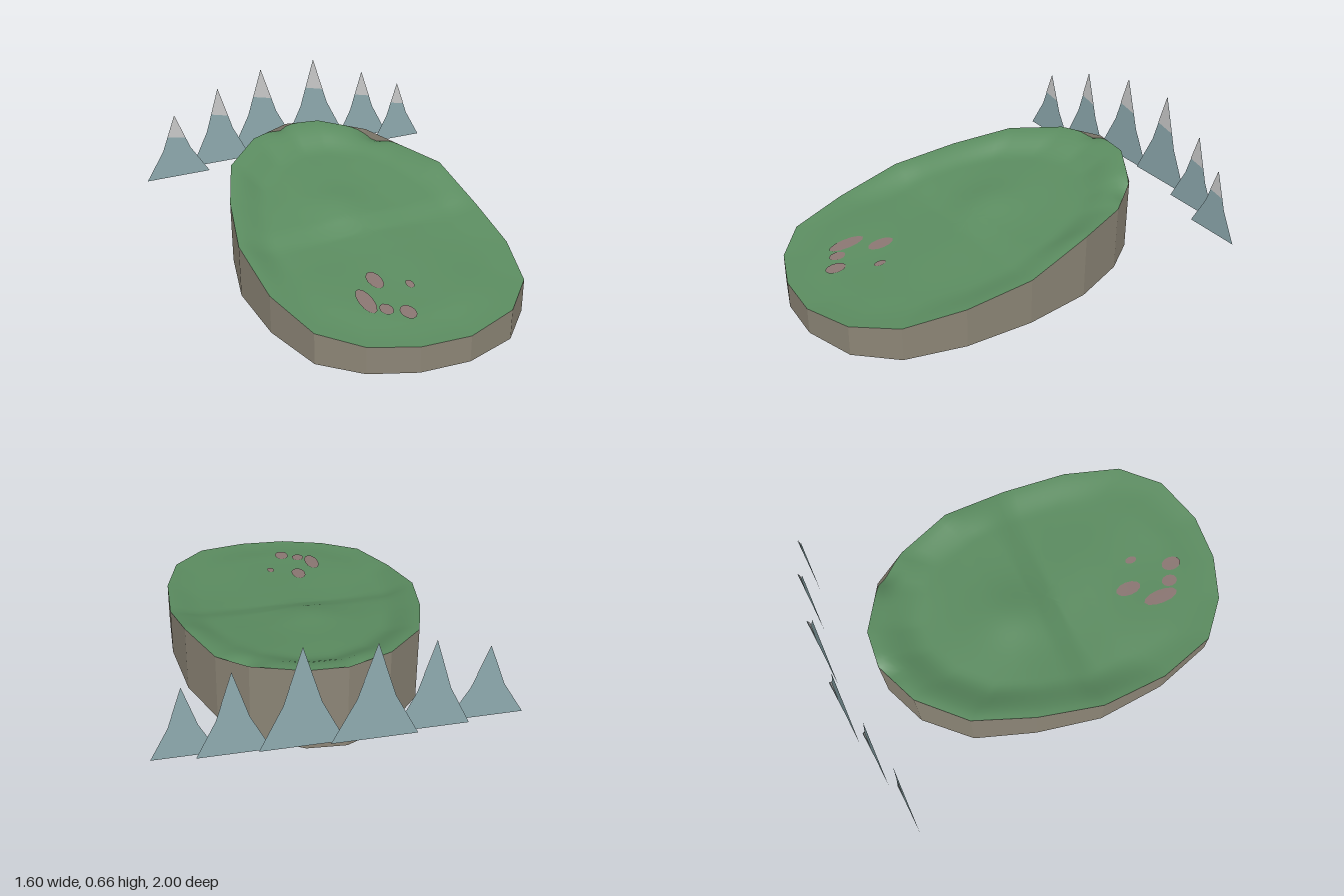
import * as THREE from 'three';

const mat = (color, extra = {}) => new THREE.MeshStandardMaterial({ color, side: THREE.DoubleSide, ...extra });

// Island outline, clockwise from the back: x, z and height of the rim
const RIM = [
  [0.12, -0.765, 0.40], [0.34, -0.63, 0.365], [0.46, -0.46, 0.325], [0.56, -0.19, 0.32],
  [0.595, 0.14, 0.23], [0.575, 0.47, 0.195], [0.5, 0.75, 0.165], [0.34, 0.92, 0.15],
  [0.1, 0.995, 0.13], [-0.13, 0.98, 0.13], [-0.34, 0.9, 0.135], [-0.51, 0.75, 0.155],
  [-0.6, 0.46, 0.19], [-0.625, 0.12, 0.26], [-0.56, -0.2, 0.315], [-0.46, -0.49, 0.365],
  [-0.27, -0.69, 0.395], [-0.06, -0.78, 0.405],
];
const CENTRE = [0, 0.1];
const STEPS = 6, RINGS = 28;

// Ground level along z, from back to front
const LEVELS = [[-0.8, 0.36], [-0.6, 0.325], [-0.4, 0.3], [-0.15, 0.265], [0.03, 0.235],
  [0.14, 0.2], [0.3, 0.185], [0.6, 0.165], [0.8, 0.15], [1.01, 0.13]];

function groundLevel(x, z) {
  let i = 0;
  while (i < LEVELS.length - 2 && z > LEVELS[i + 1][0]) i++;
  const [z0, y0] = LEVELS[i], [z1, y1] = LEVELS[i + 1];
  const y = THREE.MathUtils.lerp(y0, y1, THREE.MathUtils.clamp((z - z0) / (z1 - z0), 0, 1));
  const ripple = 0.004 * Math.sin(9 * x + 3 * z) * Math.sin(7 * z - 4 * x);
  const mound = 0.02 * Math.exp(-((x + 0.05) ** 2 + (z + 0.06) ** 2) / 0.02);
  return y + ripple + mound;
}

// Notches where the ground sinks below the rim
const notch = (x, z) => 0.045 * Math.exp(-((x - 0.38) ** 2 + (z + 0.6) ** 2) / 0.006)
  + 0.025 * Math.exp(-((x + 0.1) ** 2 + (z + 0.77) ** 2) / 0.003);

function makeMesh(name, positions, index, material) {
  const geometry = new THREE.BufferGeometry();
  geometry.setAttribute('position', new THREE.Float32BufferAttribute(positions, 3));
  geometry.setIndex(index);
  geometry.computeVertexNormals();
  const mesh = new THREE.Mesh(geometry, material);
  mesh.name = name;
  return mesh;
}

// Grassy surface: rings spreading from the centre to the rim
function createTerrain() {
  const positions = [], index = [], count = RIM.length * STEPS;
  for (let r = 0; r <= RINGS; r++) {
    const t = r / RINGS, blend = THREE.MathUtils.smoothstep(t, 0.72, 1);
    for (let k = 0; k < count; k++) {
      const i = Math.floor(k / STEPS), f = (k % STEPS) / STEPS;
      const [ex, ez, ey] = RIM[i].map((v, c) => THREE.MathUtils.lerp(v, RIM[(i + 1) % RIM.length][c], f));
      const x = THREE.MathUtils.lerp(CENTRE[0], ex, t), z = THREE.MathUtils.lerp(CENTRE[1], ez, t);
      const y = THREE.MathUtils.lerp(groundLevel(x, z), ey, blend) - notch(x, z);
      positions.push(x, y, z);
      if (r < RINGS) {
        const a = r * count + k, b = r * count + (k + 1) % count;
        index.push(a, b, b + count, a, b + count, a + count);
      }
    }
  }
  // Corners run anticlockwise seen from above
  for (let i = 0; i < index.length; i += 3) [index[i + 1], index[i + 2]] = [index[i + 2], index[i + 1]];
  return makeMesh('terrain', positions, index, mat(0x5b8c60));
}

// Open rock skirt below the rim
function createCliff() {
  const positions = [], index = [], n = RIM.length;
  RIM.forEach(([x, z, y], i) => {
    positions.push(x, 0, z, x, y, z);
    const a = 2 * i, b = 2 * ((i + 1) % n);
    index.push(a, a + 1, b, b, a + 1, b + 1);
  });
  return makeMesh('cliff', positions, index, mat(0x8c8576, { flatShading: true }));
}

// Small patch of bare soil draped over the ground
function createPatch(x, z, rx, rz, offset) {
  const geometry = new THREE.CircleGeometry(1, 12).rotateX(-Math.PI / 2).scale(rx, 1, rz).translate(x, 0, z);
  const p = geometry.attributes.position;
  for (let i = 0; i < p.count; i++) p.setY(i, groundLevel(p.getX(i), p.getZ(i)) + offset);
  geometry.computeVertexNormals();
  const mesh = new THREE.Mesh(geometry, mat(0x8a7672));
  mesh.name = 'soilPatch';
  return mesh;
}

function flatShape(name, points, color) {
  const shape = new THREE.Shape(points.map(([x, y]) => new THREE.Vector2(x, y)));
  const mesh = new THREE.Mesh(new THREE.ShapeGeometry(shape), mat(color));
  mesh.name = name;
  return mesh;
}

// Flat mountain with flared foot and a snow cap on its front
function createMountain(x, z, top, base, half) {
  const mountain = new THREE.Group();
  mountain.name = 'mountain';
  const h = top - base, kinkY = top - 0.56 * h, kinkX = 0.44 * half;
  mountain.add(flatShape('rock', [[0, top], [-kinkX, kinkY], [-half, base], [half, base], [kinkX, kinkY]], 0x8fabb0));
  const side = (f) => kinkX * f / 0.56;
  const cap = flatShape('snowCap', [[0, top], [-side(0.33), top - 0.33 * h], [side(0.38), top - 0.38 * h]], 0xd0d4d0);
  cap.position.z = 0.003;
  mountain.add(cap);
  mountain.position.set(x, 0, z);
  return mountain;
}

export function createModel() {
  const model = new THREE.Group();
  model.name = 'island';
  model.add(createTerrain(), createCliff());

  // Pond bed under the terrace
  const pond = new THREE.Mesh(new THREE.CircleGeometry(0.185, 32).rotateX(-Math.PI / 2), mat(0x2a7f92));
  pond.name = 'pond';
  pond.position.set(-0.11, 0.155, 0.22);
  model.add(pond);

  // Soil patches, showing on both sides of the ground
  for (const [x, z, rx, rz] of [[-0.12, 0.5, 0.035, 0.065], [-0.22, 0.63, 0.035, 0.09],
    [-0.08, 0.76, 0.035, 0.05], [-0.16, 0.71, 0.03, 0.04], [0.015, 0.58, 0.018, 0.03]]) {
    for (const offset of [0.004, -0.004]) model.add(createPatch(x, z, rx, rz, offset));
  }

  // Mountain range on an arc behind the island: x, z, top, base, half width
  for (const m of [[-0.63, -0.9, 0.505, 0.155, 0.17], [-0.375, -0.95, 0.595, 0.17, 0.165],
    [-0.115, -1, 0.645, 0.19, 0.185], [0.185, -0.99, 0.66, 0.19, 0.18],
    [0.46, -0.955, 0.56, 0.17, 0.155], [0.655, -0.9, 0.48, 0.147, 0.14]]) {
    model.add(createMountain(...m));
  }
  return model;
}
